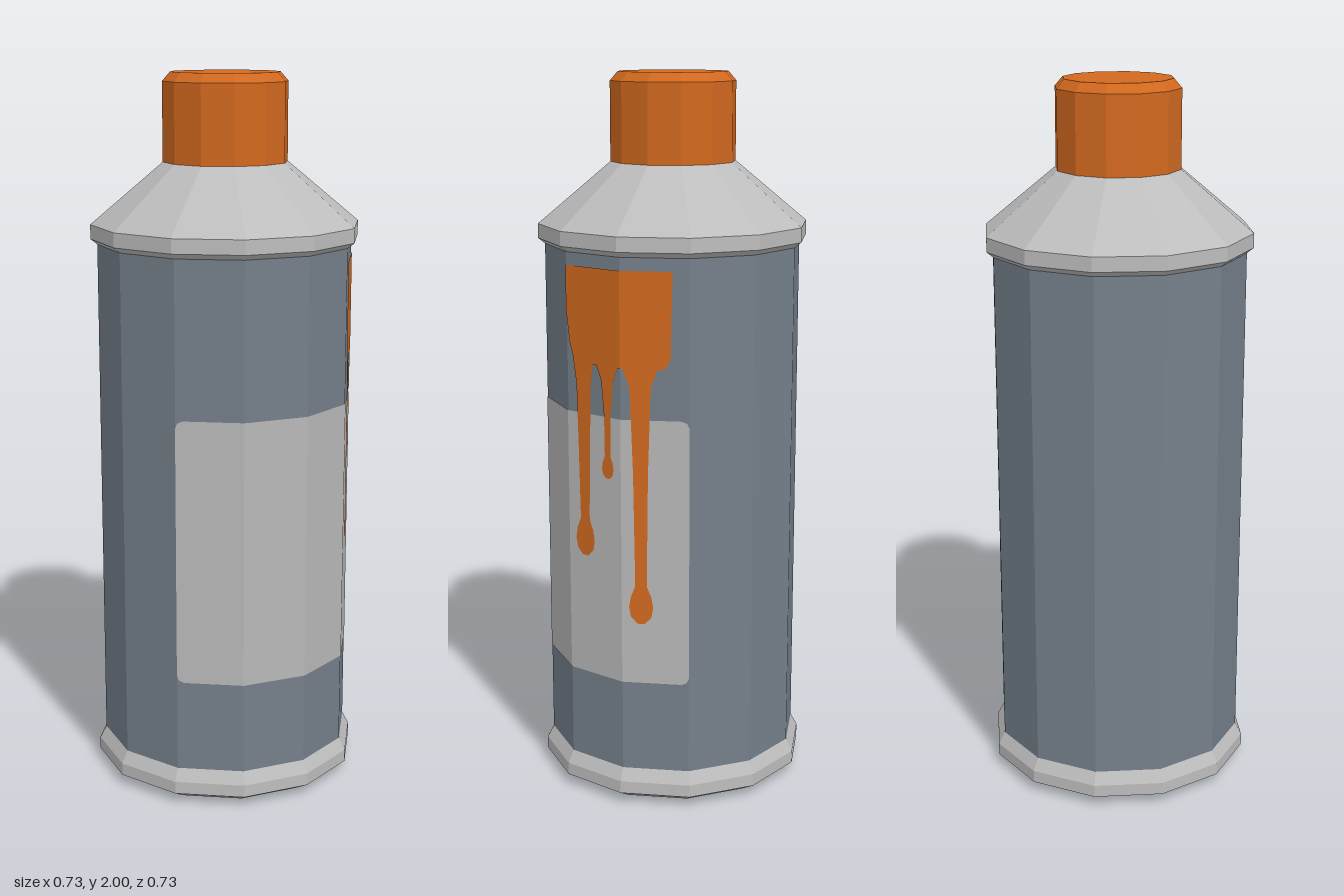
import * as THREE from 'three';

const SIDES = 12;
const HALF = Math.PI / SIDES;          // half the angle of one facet
const WALL = 0.345;                    // centre to the middle of a wall facet
const FACE = 2 * WALL * Math.tan(HALF); // width of one wall facet

function paint(name, color) {
  const m = new THREE.MeshStandardMaterial({ color, flatShading: true });
  m.name = name;
  return m;
}

// Faceted turned part; profile is [facet distance, height] from bottom to top
function turned(name, profile, material) {
  const pts = profile.map(([r, y]) => new THREE.Vector2(r / Math.cos(HALF), y));
  const mesh = new THREE.Mesh(new THREE.LatheGeometry(pts, SIDES, HALF), material);
  mesh.name = name;
  return mesh;
}

// Keep the part of a convex polygon where sign * s <= sign * limit
function clip(poly, limit, sign) {
  const out = [];
  poly.forEach((a, i) => {
    const b = poly[(i + 1) % poly.length];
    const da = sign * (limit - a[0]), db = sign * (limit - b[0]);
    if (da >= 0) out.push(a);
    if (da * db < 0) {
      const t = da / (da - db);
      out.push([a[0] + (b[0] - a[0]) * t, a[1] + (b[1] - a[1]) * t]);
    }
  });
  return out;
}

// Wrap convex counter-clockwise polygons [distance along wall, height] round the facets
function wrapped(name, polygons, lift, material) {
  const pos = [];
  const r = WALL + lift, stretch = r / WALL;
  for (const polygon of polygons) {
    for (let k = -3; k <= 3; k++) {
      const part = clip(clip(polygon, (k + 0.5) * FACE, 1), (k - 0.5) * FACE, -1);
      const a = k * 2 * HALF;
      const place = ([s, y]) => {
        const u = (s - k * FACE) * stretch;
        return [r * Math.sin(a) + u * Math.cos(a), y, r * Math.cos(a) - u * Math.sin(a)];
      };
      for (let i = 1; i < part.length - 1; i++) {
        pos.push(...place(part[0]), ...place(part[i]), ...place(part[i + 1]));
      }
    }
  }
  const g = new THREE.BufferGeometry();
  g.setAttribute('position', new THREE.Float32BufferAttribute(pos, 3));
  g.computeVertexNormals();
  const mesh = new THREE.Mesh(g, material);
  mesh.name = name;
  return mesh;
}

// One drip as stacked quads; rows are [height, half width] from top to bottom
function drip(s, rows) {
  return rows.slice(1).map(([y, w], i) => {
    const [y0, w0] = rows[i];
    return [[s - w, y], [s + w, y], [s + w0, y0], [s - w0, y0]];
  });
}

// Rounded bead at the end of a drip
const bead = (y, w, h) => [[y + h * 1.2, w * 0.5], [y + h * 0.6, w * 0.85], [y, w],
  [y - h * 0.6, w * 0.85], [y - h, w * 0.3]];

export function createModel() {
  const metal = paint('silver metal', 0xbdbdbd);
  const steel = paint('blue grey body', 0x75808a);
  const paper = paint('pale grey label', 0xb8b8b8);
  const orange = paint('orange', 0xd2691f);

  const can = new THREE.Group();
  can.name = 'sprayCan';

  // Can body with its rims, shoulder and cap
  can.add(turned('bottomRim', [[0, 0.085], [0.312, 0], [0.363, 0.03], [0.363, 0.065], [WALL, 0.1]], metal));
  can.add(turned('body', [[WALL, 0.1], [WALL, 1.535]], steel));
  can.add(turned('shoulder', [[WALL, 1.535], [0.363, 1.55], [0.363, 1.59], [0.16, 1.765]], metal));
  can.add(turned('cap', [[0.15, 1.757], [0.168, 1.757], [0.168, 1.975], [0.147, 2], [0, 2]], orange));

  // Label over the five front facets, with clipped corners
  const e = 2.5 * FACE, c = 0.02, low = 0.357, high = 1.102;
  can.add(wrapped('label', [[
    [-e + c, low], [e - c, low], [e - c * 0.3, low + c * 0.3], [e, low + c],
    [e, high - c], [e - c * 0.3, high - c * 0.3], [e - c, high], [-e + c, high],
    [-e + c * 0.3, high - c * 0.3], [-e, high - c], [-e, low + c], [-e + c * 0.3, low + c * 0.3],
  ]], 0.0015, paper));

  // Paint patch with three drips
  const patch = [[0.12, 1.24], [0.395, 1.24], [0.412, 1.265], [0.417, 1.5],
    [0.0925, 1.5], [0.0925, 1.38], [0.104, 1.29]];
  can.add(wrapped('paintDrips', [
    patch,
    ...drip(0.151, [[1.25, 0.035], [1.18, 0.025], [1, 0.02], [0.82, 0.016], ...bead(0.747, 0.033, 0.047)]),
    ...drip(0.233, [[1.25, 0.04], [1.2, 0.02], [1.1, 0.011], [1.01, 0.01], ...bead(0.96, 0.02, 0.028)]),
    ...drip(0.331, [[1.25, 0.05], [1.19, 0.028], [0.95, 0.02], [0.66, 0.016], ...bead(0.578, 0.033, 0.048)]),
  ], 0.003, orange));

  return can;
}
